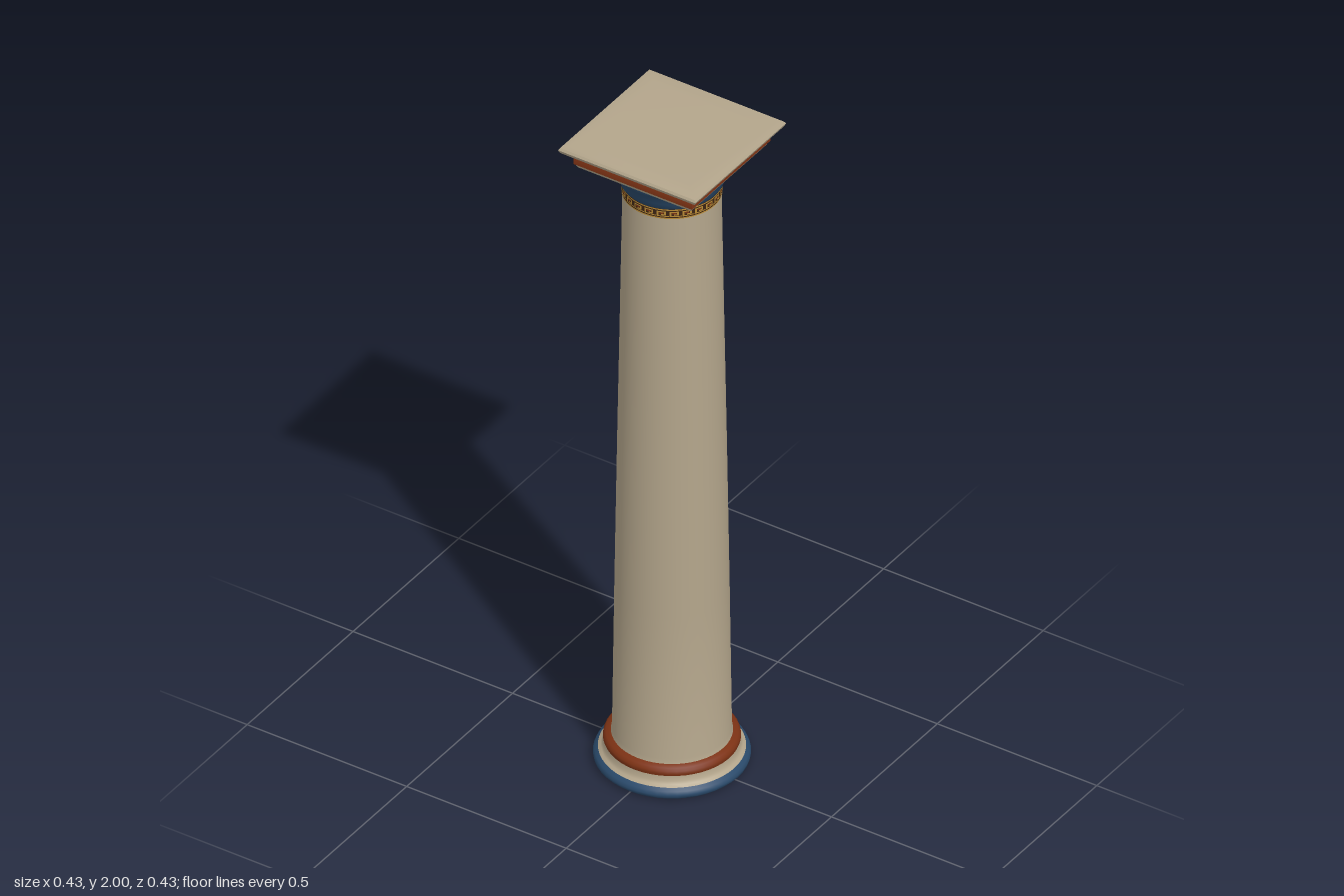
import * as THREE from 'three';
import { mergeGeometries, toCreasedNormals } from 'three/addons/utils/BufferGeometryUtils.js';

const paint = (name, color) =>
  Object.assign(new THREE.MeshStandardMaterial({ color, side: THREE.DoubleSide }), { name });

export function createModel() {
  const stone = paint('stone', 0xb3a58b);
  const blue = paint('blue', 0x2a4a6b);
  const red = paint('brick red', 0x7c3214);
  const gold = paint('gold', 0xb98a35);
  const dark = paint('dark brown', 0x3c2412);

  const model = new THREE.Group();
  model.name = 'column';

  const add = (name, geometry, material) => {
    const mesh = new THREE.Mesh(geometry, material);
    mesh.name = name;
    model.add(mesh);
  };

  // Profiles are [radius, height] pairs, listed from bottom to top
  const points = (profile, k = 1) => profile.map(([r, y]) => new THREE.Vector2(r * k, y));

  const round = (name, profile, material) =>
    add(name, toCreasedNormals(new THREE.LatheGeometry(points(profile), 48), 0.8), material);

  // Square mouldings: a four-sided lathe, with half-widths in place of radii
  const square = (name, profile, material) =>
    add(name, toCreasedNormals(
      new THREE.LatheGeometry(points(profile, Math.SQRT2), 4, Math.PI / 4), 0.75), material);

  // Base mouldings, open underneath
  round('baseRing', [[0.186, 0], [0.199, 0.003], [0.206, 0.01], [0.207, 0.018],
    [0.203, 0.027], [0.194, 0.034]], blue);
  round('baseCove', [[0.194, 0.034], [0.186, 0.039], [0.181, 0.046], [0.179, 0.061]], stone);
  round('baseBead', [[0.179, 0.061], [0.181, 0.067], [0.179, 0.075], [0.173, 0.082],
    [0.16, 0.086]], red);

  // Tapered shaft
  round('shaft', [[0.16, 0.086], [0.157, 0.1], [0.151, 0.55], [0.144, 1.0],
    [0.137, 1.4], [0.13, 1.82]], stone);

  // Neck band with a gold key pattern
  const bandY = 1.82, bandH = 0.03, bandR = 0.131;
  round('neckBand', [[0.13, bandY], [bandR, bandY], [bandR, bandY + bandH]], dark);
  const keys = 24, step = (Math.PI * 2) / keys;
  const strip = (u, v, w, h) => {
    const r = bandR + 0.0015;
    const g = new THREE.CylinderGeometry(r, r, h * bandH, 3, 1, true, u * step, w * step);
    return g.translate(0, bandY + (v + h / 2) * bandH, 0);
  };
  const fret = [], centres = [];
  for (let i = 0; i < keys; i++) {
    fret.push(
      strip(i, 0, 1, 0.12), strip(i, 0.88, 1, 0.12),
      strip(i + 0.05, 0.22, 0.14, 0.56), strip(i + 0.19, 0.66, 0.58, 0.12),
      strip(i + 0.63, 0.36, 0.14, 0.3), strip(i + 0.4, 0.36, 0.23, 0.12),
      strip(i + 0.19, 0.22, 0.81, 0.1));
    centres.push(strip(i + 0.24, 0.5, 0.34, 0.14));
  }
  add('neckKeyPattern', mergeGeometries(fret), gold);
  add('neckKeyCentres', mergeGeometries(centres), red);

  // Flaring round cushion under the slab
  round('capitalCushion', [[0.131, 1.85], [0.137, 1.858], [0.142, 1.872], [0.149, 1.888],
    [0.157, 1.902], [0.164, 1.913], [0.165, 1.922]], blue);

  // Square top slab
  square('slabUnderside', [[0, 1.922], [0.168, 1.922], [0.178, 1.928], [0.182, 1.938]], stone);
  square('slabBand', [[0.182, 1.938], [0.186, 1.94], [0.186, 1.964], [0.184, 1.967]], red);
  square('slabTop', [[0.184, 1.967], [0.194, 1.969], [0.204, 1.974], [0.212, 1.982],
    [0.215, 1.99], [0.211, 1.996], [0.195, 1.999], [0.165, 2], [0, 2]], stone);

  return model;
}
